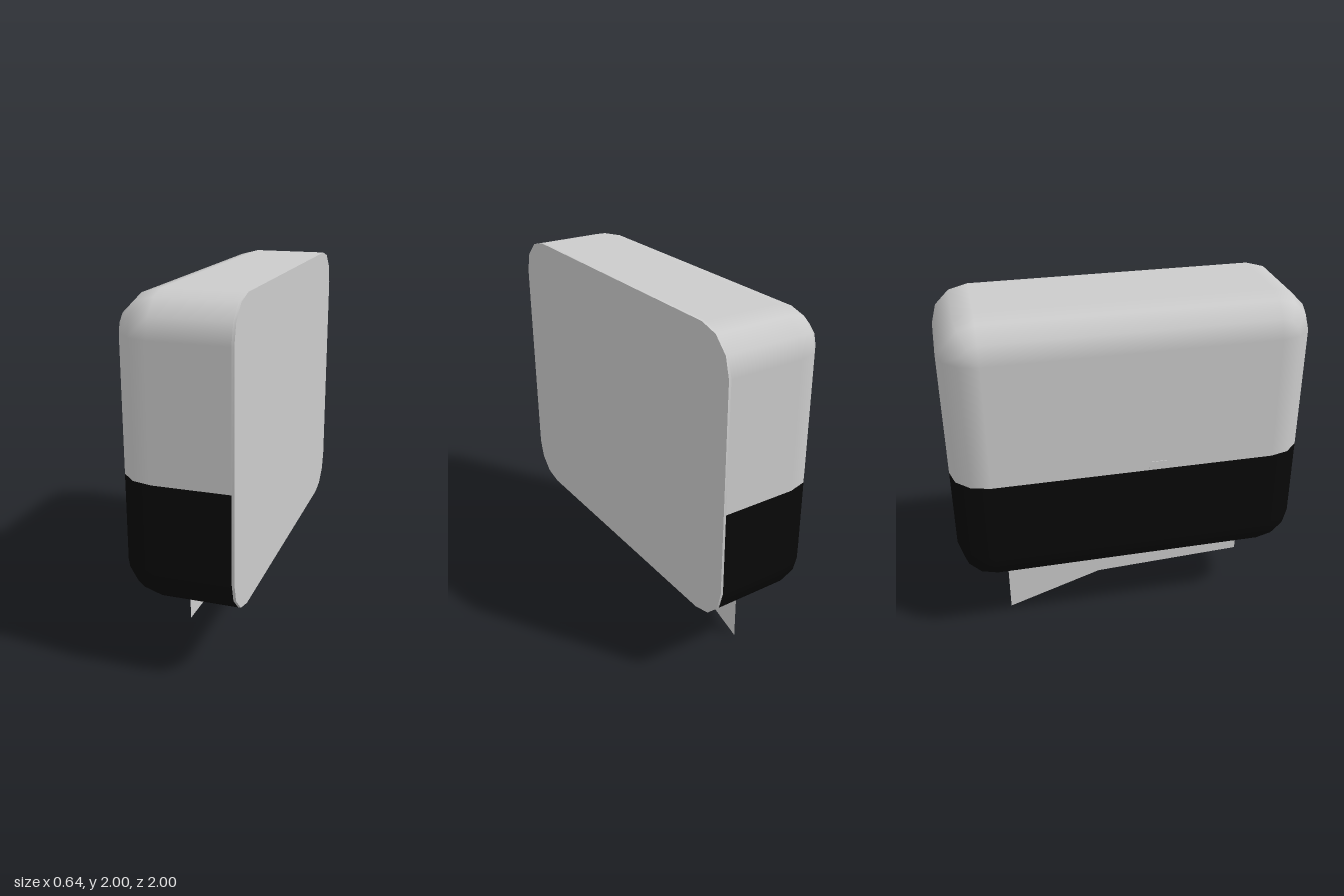
import * as THREE from 'three';
import { toCreasedNormals } from 'three/addons/utils/BufferGeometryUtils.js';

const R = 0.21, SEG = 3;                 // corner radius and its facets
const X0 = -0.306, X1 = 0.314, X2 = 0.328; // domed face, seam, flat face
const Y0 = 0.403, Y1 = 1.997, CUT = 1.08;  // bottom, top, colour split

// Half of a rounded shell: dir +1 runs from the split up, -1 from the split down
function shellHalf(dir) {
  const yc = dir > 0 ? Y1 - R : Y0 + R, zc = 1 - R;
  // Outline as arc centre plus direction
  const outline = [{ y: CUT, z: zc, ny: 0, nz: 1 }];
  for (const first of [true, false]) {
    for (let i = 0; i <= SEG; i++) {
      const a = (i / SEG) * Math.PI / 2 + (first ? 0 : Math.PI / 2);
      outline.push({ y: yc, z: first ? zc : -zc, ny: dir * Math.sin(a), nz: Math.cos(a) });
    }
  }
  outline.push({ y: CUT, z: -zc, ny: 0, nz: -1 });

  // Rows: straight wall, rounded edge, then the flat face closing on its midline
  const rows = [{ x: X1, t: 0, zs: 1 }];
  for (let i = 0; i <= SEG; i++) {
    const t = (i / SEG) * Math.PI / 2;
    rows.push({ x: X0 + R - R * Math.sin(t), t, zs: 1 });
  }
  rows.push({ x: X0, t: Math.PI / 2, zs: 0 });

  const pos = [], nor = [], idx = [], n = outline.length;
  for (const { x, t, zs } of rows) {
    const c = Math.cos(t);
    for (const p of outline) {
      pos.push(x, p.y + R * c * p.ny, (p.z + R * c * p.nz) * zs);
      nor.push(-Math.sin(t), c * p.ny, c * p.nz);
    }
  }
  for (let r = 0; r < rows.length - 1; r++) {
    for (let i = 0; i < n - 1; i++) {
      const a = r * n + i, b = a + 1, d = a + n, e = d + 1;
      if (dir > 0) idx.push(a, b, d, b, e, d);
      else idx.push(a, d, b, b, d, e);
    }
  }
  const g = new THREE.BufferGeometry();
  g.setAttribute('position', new THREE.Float32BufferAttribute(pos, 3));
  g.setAttribute('normal', new THREE.Float32BufferAttribute(nor, 3));
  g.setIndex(idx);
  return g;
}

// Flat closing panel with the same rounded outline
function panelGeometry() {
  const pts = [];
  const corners = [[1, 1], [-1, 1], [-1, -1], [1, -1]];
  corners.forEach(([sx, sy], k) => {
    for (let i = 0; i <= SEG; i++) {
      const a = (k + i / SEG) * Math.PI / 2;
      pts.push(new THREE.Vector2(
        sx * (1 - R) + R * Math.cos(a),
        (sy > 0 ? Y1 - R : Y0 + R) + R * Math.sin(a)));
    }
  });
  const g = new THREE.ExtrudeGeometry(new THREE.Shape(pts), { depth: X2 - X1, bevelEnabled: false });
  g.rotateY(Math.PI / 2);
  g.translate(X1, 0, 0);
  return toCreasedNormals(g, 0.7);
}

export function createModel() {
  const group = new THREE.Group();
  const grey = new THREE.MeshStandardMaterial({ color: 0xcccccc });
  const greyThin = new THREE.MeshStandardMaterial({ color: 0xcccccc, side: THREE.DoubleSide });
  const black = new THREE.MeshStandardMaterial({ color: 0x080808, side: THREE.DoubleSide });
  const add = (name, geometry, material) => {
    const mesh = new THREE.Mesh(geometry, material);
    mesh.name = name;
    group.add(mesh);
    return mesh;
  };

  add('upperShell', shellHalf(1), greyThin);
  add('lowerShell', shellHalf(-1), black);
  add('flatPanel', panelGeometry(), grey);

  // Small tab just above the colour split
  add('tab', new THREE.BoxGeometry(0.006, 0.045, 0.1), grey).position.set(X0, CUT + 0.03, 0.13);

  // Thin fin under the body, drawn in (-z, y)
  const fin = new THREE.Shape([[-0.73, Y0 + 0.01], [-0.73, 0.22], [0.16, 0.185], [0.72, 0], [0.72, Y0 + 0.01]]
    .map(([u, v]) => new THREE.Vector2(u, v)));
  add('fin', new THREE.ShapeGeometry(fin).rotateY(Math.PI / 2), greyThin).position.x = -0.005;

  return group;
}
